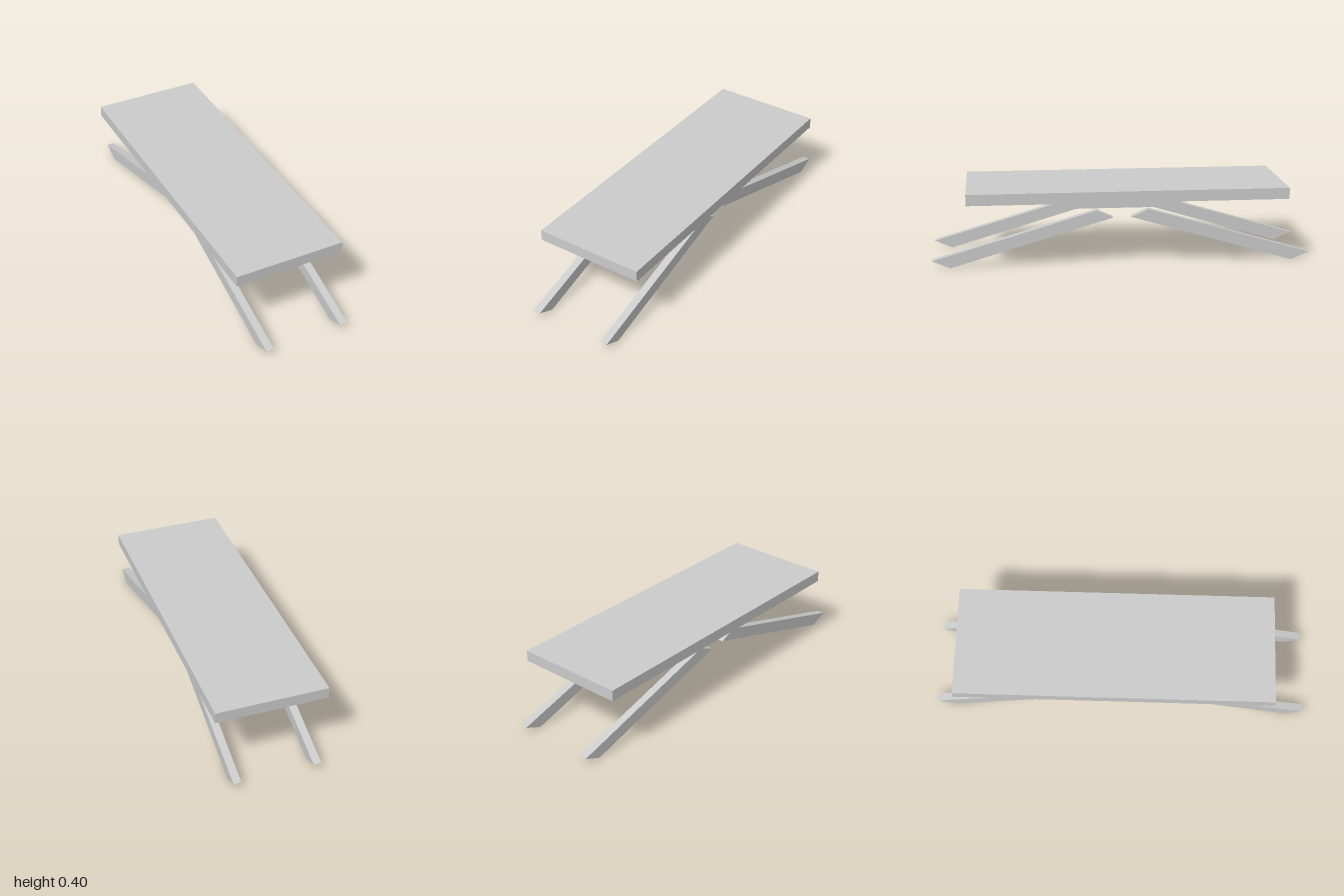
import * as THREE from 'three';

const material = new THREE.MeshStandardMaterial({ color: 0xcccccc, flatShading: true });

// Side profile of [z, y] points, extruded across x and centred on x = 0
function sideProfile(points, width) {
  const shape = new THREE.Shape(points.map(([z, y]) => new THREE.Vector2(z, y)));
  const geometry = new THREE.ExtrudeGeometry(shape, { depth: width, bevelEnabled: false });
  geometry.translate(0, 0, -width / 2);
  geometry.rotateY(-Math.PI / 2);
  return geometry;
}

function addPart(group, name, geometry, x = 0, y = 0, z = 0) {
  const mesh = new THREE.Mesh(geometry, material);
  mesh.name = name;
  mesh.position.set(x, y, z);
  group.add(mesh);
}

// Slanted leg whose centre line drifts from xInner (under the top) to xOuter (foot)
function legGeometry(dir, xInner, xOuter) {
  const inner = dir > 0 ? 0.05 : 0.045;
  const points = [[1, 0.043], [inner + 0.09, 0.295], [inner, 0.255], [0.905, 0.002]];
  const geometry = sideProfile(points.map(([z, y]) => [z * dir, y]), 0.041);
  const pos = geometry.attributes.position;
  for (let i = 0; i < pos.count; i++) {
    const t = Math.abs(pos.getZ(i));
    pos.setX(i, pos.getX(i) + THREE.MathUtils.lerp(xInner, xOuter, t));
  }
  geometry.computeVertexNormals();
  return geometry;
}

export function createModel() {
  const group = new THREE.Group();
  group.name = 'lowTable';

  // Table top
  addPart(group, 'tableTop', new THREE.BoxGeometry(0.592, 0.059, 1.692), -0.001, 0.3765, -0.03);

  // Support rails under the top, slightly deeper at the back end
  const railPoints = [[0.325, 0.347], [-0.313, 0.347], [-0.313, 0.303],
    [-0.225, 0.304], [-0.222, 0.307], [0.325, 0.307]];
  addPart(group, 'leftRail', sideProfile(railPoints, 0.054), 0.212);
  addPart(group, 'rightRail', sideProfile(railPoints, 0.054), -0.207);

  // Splayed legs: name, direction along z, inner and outer x
  const legs = [
    ['frontLeftLeg', 1, 0.22, 0.216],
    ['frontRightLeg', 1, -0.203, -0.205],
    ['backLeftLeg', -1, 0.212, 0.222],
    ['backRightLeg', -1, -0.212, -0.201],
  ];
  for (const [name, dir, xInner, xOuter] of legs) {
    addPart(group, name, legGeometry(dir, xInner, xOuter));
  }
  return group;
}
